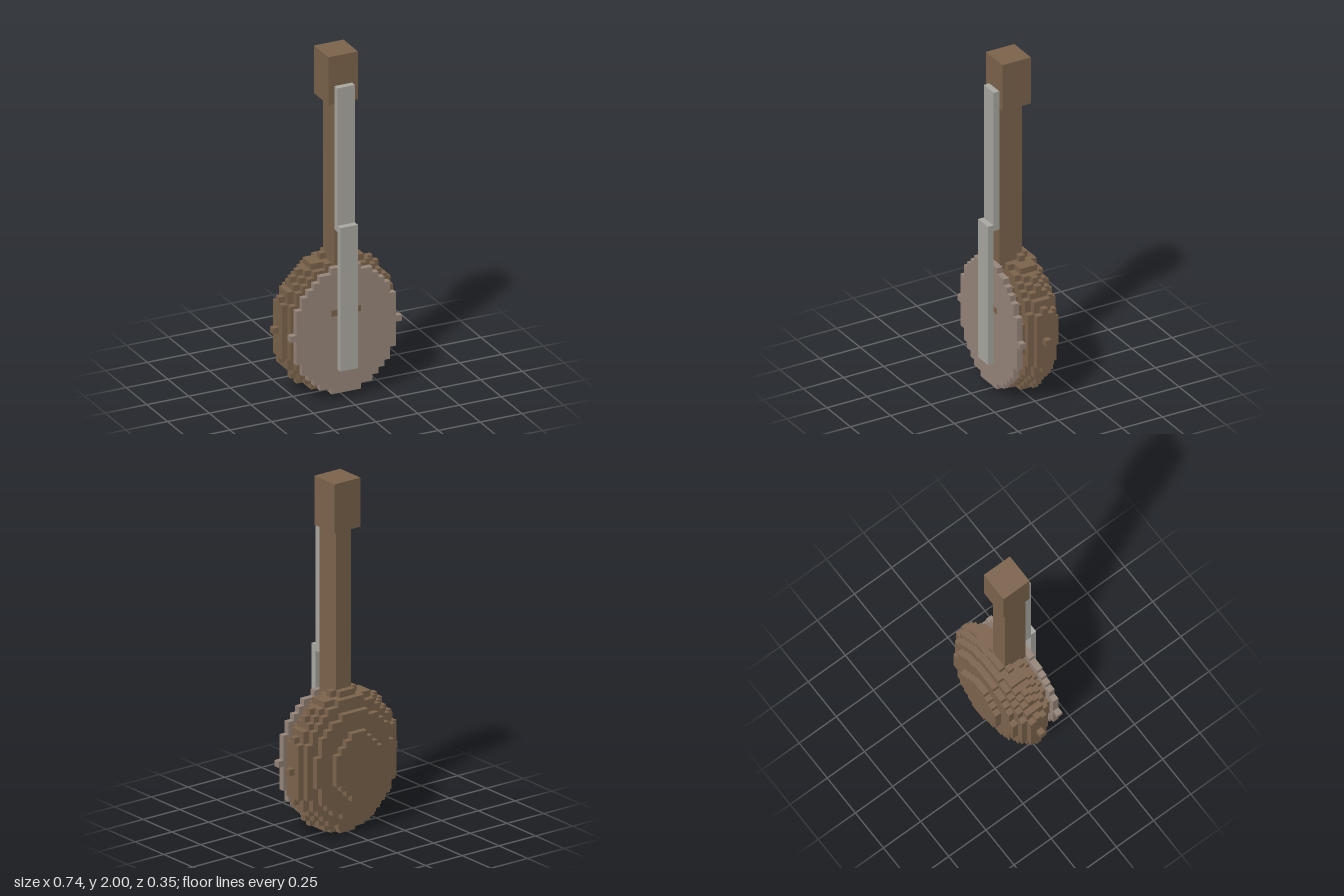
import * as THREE from 'three';

const V = 2 / 57; // edge of one block

export function createModel() {
  const mat = (name, color) => {
    const m = new THREE.MeshStandardMaterial({ color });
    m.name = name;
    return m;
  };
  const wood = mat('brown wood', 0x7d654d);
  const skin = mat('drum skin', 0x98877b);
  const metal = mat('pale strings', 0xabaaa3);

  const model = new THREE.Group();
  model.name = 'banjo';

  const add = (parent, name, geometry, material) => {
    const mesh = new THREE.Mesh(geometry, material);
    mesh.name = name;
    parent.add(mesh);
    return mesh;
  };

  // Box given by block limits on each axis
  const block = (parent, name, material, [x0, x1], [y0, y1], [z0, z1]) =>
    add(parent, name, new THREE.BoxGeometry((x1 - x0) * V, (y1 - y0) * V, (z1 - z0) * V), material)
      .position.set((x0 + x1) / 2 * V, (y0 + y1) / 2 * V, (z0 + z1) / 2 * V);

  // One-block-thick stepped ellipse; k is the squared radius left at this depth
  const slab = (parent, name, material, a, b, k, z) => {
    const right = [];
    for (let dy = -11; dy <= 11; dy++) {
      const r = k - (dy * dy) / (b * b);
      if (r < 0) continue;
      const x = (Math.floor(a * Math.sqrt(r) + 1e-6) + 0.5) * V;
      const y = (dy + 11) * V;
      const last = right[right.length - 1];
      if (last && last.x === x) last.y = y + V;
      else right.push(new THREE.Vector2(x, y), new THREE.Vector2(x, y + V));
    }
    const left = right.map(p => new THREE.Vector2(-p.x, p.y)).reverse();
    const shape = new THREE.Shape([...right, ...left]);
    const geometry = new THREE.ExtrudeGeometry(shape, { depth: V, bevelEnabled: false });
    add(parent, name, geometry, material).position.z = z * V;
  };

  // Rounded bowl of stacked slabs
  const bowl = new THREE.Group();
  bowl.name = 'bowl';
  model.add(bowl);
  for (let z = -5; z <= 2; z++) {
    slab(bowl, 'bowlLayer', wood, 10, 11.5, 1 - ((z + 1) / 4.5) ** 2, z);
  }

  // Drum face with two small pegs beside the strings
  slab(model, 'drumFace', skin, 9, 10.5, 1, 3);
  for (const x of [-2, 2]) {
    block(model, 'facePeg', wood, [x - 0.5, x + 0.5], [14, 15], [3.9, 4.04]);
  }

  // Neck and head
  block(model, 'neck', wood, [-1.5, 1.5], [21, 49], [-1, 3]);
  block(model, 'head', wood, [-2.5, 2.5], [49, 57], [-2, 3]);

  // String bands, the lower one raised over the drum face
  block(model, 'upperStrings', metal, [-1.5, 1.5], [28, 52], [3, 4]);
  block(model, 'lowerStrings', metal, [-1.5, 1.5], [5, 29], [4, 5]);

  return model;
}
